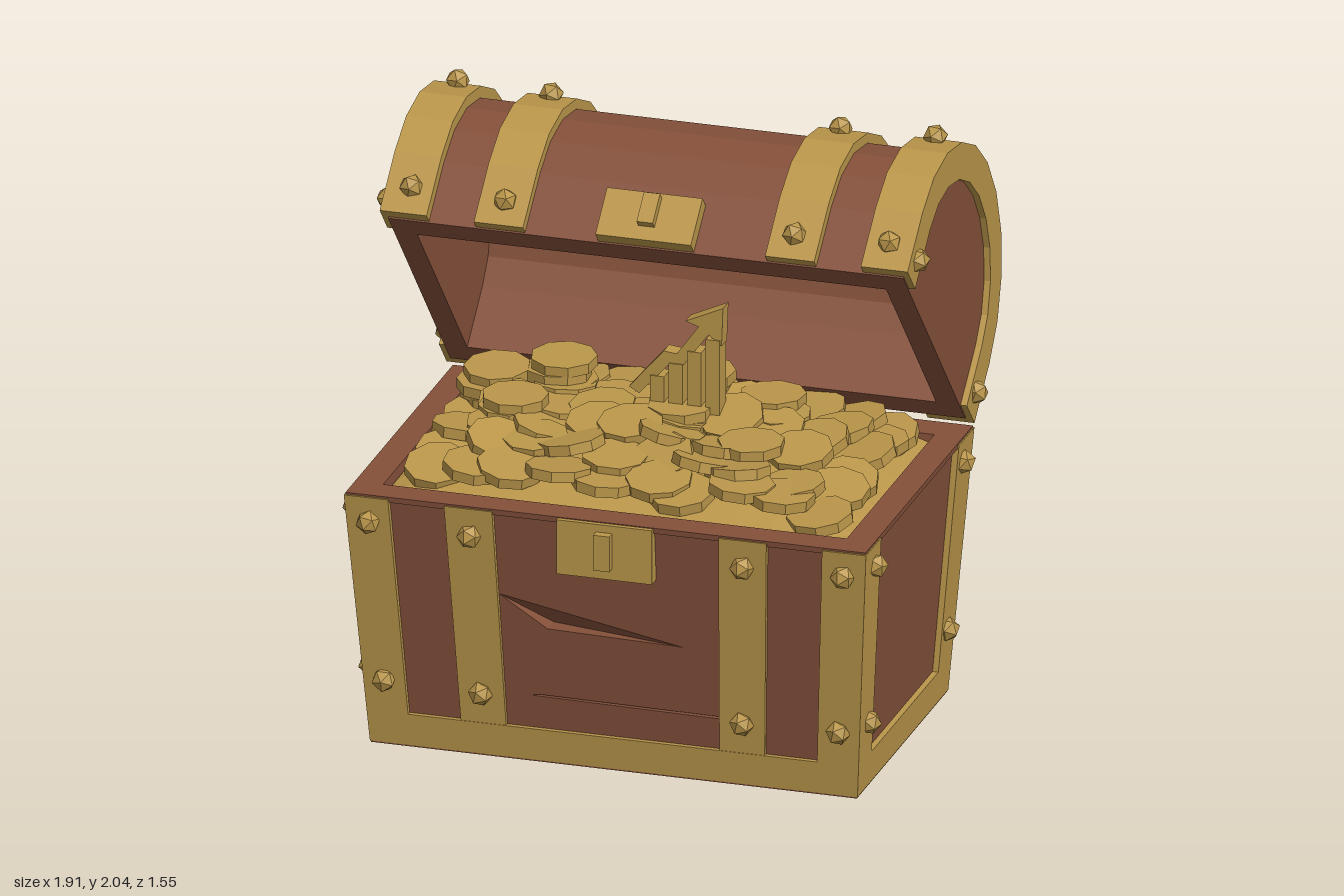
import * as THREE from 'three';

const wood = new THREE.MeshStandardMaterial({ color: 0x84503a, flatShading: true, side: THREE.DoubleSide });
wood.name = 'wood';
const gold = new THREE.MeshStandardMaterial({ color: 0xba964a, flatShading: true, side: THREE.DoubleSide });
gold.name = 'gold';

function add(parent, name, geo, mat) {
  const m = new THREE.Mesh(geo, mat);
  m.name = name;
  parent.add(m);
  return m;
}

// Box given by its min and max corners
function block(x0, x1, y0, y1, z0, z1) {
  return new THREE.BoxGeometry(x1 - x0, y1 - y0, z1 - z0)
    .translate((x0 + x1) / 2, (y0 + y1) / 2, (z0 + z1) / 2);
}

// The chest widens toward the top
const sx = y => 1 + 0.0786 * y, sz = y => 1 + 0.216 * y;
function taper(geo) {
  const p = geo.attributes.position;
  for (let i = 0; i < p.count; i++) {
    const y = p.getY(i);
    p.setX(i, p.getX(i) * sx(y));
    p.setZ(i, p.getZ(i) * sz(y));
  }
  geo.computeVertexNormals();
  return geo;
}

const poly = pts => pts.map(([x, y]) => new THREE.Vector2(x, y));
const rect = (x0, x1, y0, y1) => poly([[x0, y0], [x1, y0], [x1, y1], [x0, y1]]);

// Rectangular ring standing from y0 to y1
function ring(x, zBack, zFront, ix, izBack, izFront, y0, y1) {
  const s = new THREE.Shape(rect(-x, x, -zFront, -zBack));
  s.holes.push(new THREE.Path(rect(-ix, ix, -izFront, -izBack)));
  return new THREE.ExtrudeGeometry(s, { depth: y1 - y0, bevelEnabled: false })
    .rotateX(-Math.PI / 2).translate(0, y0, 0);
}

function rivet(parent, x, y, z, turn) {
  const r = add(parent, 'rivet', new THREE.IcosahedronGeometry(0.042, 0), gold);
  r.position.set(x, y, z);
  r.rotation.set(turn, turn * 2, 0.4);
}

function buildBase() {
  const g = new THREE.Group();
  g.name = 'base';
  g.position.z = 0.133;
  // Wooden tub
  add(g, 'tubWalls', taper(ring(0.822, -0.48, 0.42, 0.747, -0.4, 0.405, 0.004, 0.906)), wood);
  add(g, 'rim', taper(ring(0.838, -0.495, 0.492, 0.747, -0.4, 0.405, 0.895, 0.915)), wood);
  add(g, 'floor', taper(block(-0.839, 0.839, 0, 0.02, -0.496, 0.496)), wood);
  // Front board with a chipped gash and a crack
  const chip = [[-0.365, 0.6], [-0.21, 0.49], [0.24, 0.48]];
  const board = new THREE.Shape(rect(-0.822, 0.822, 0.02, 0.906));
  board.holes.push(new THREE.Path(poly(chip)));
  board.holes.push(new THREE.Path(poly([[-0.28, 0.237], [0.37, 0.23], [0.37, 0.238], [-0.25, 0.243]])));
  add(g, 'frontBoard', taper(new THREE.ExtrudeGeometry(board, { depth: 0.062, bevelEnabled: false })
    .translate(0, 0, 0.42)), wood);
  const facet = new THREE.BufferGeometry();
  facet.setAttribute('position', new THREE.Float32BufferAttribute(
    [...chip[0], 0.482, ...chip[1], 0.422, ...chip[2], 0.482], 3));
  add(g, 'gash', taper(facet), wood);
  // Metal frame
  add(g, 'bottomBand', taper(ring(0.842, -0.499, 0.499, 0.8, -0.46, 0.46, 0.006, 0.12)), gold);
  for (const s of [-1, 1]) {
    for (const t of [-1, 1]) {
      const bands = [[0.7, 0.842, 0.468, 0.499], [0.81, 0.842, 0.357, 0.499], [0.365, 0.52, 0.468, 0.497]];
      bands.forEach(([x0, x1, z0, z1], i) => {
        const geo = block(Math.min(s * x0, s * x1), Math.max(s * x0, s * x1), 0.1, 0.908,
          Math.min(t * z0, t * z1), Math.max(t * z0, t * z1));
        add(g, i < 2 ? 'cornerBand' : 'uprightBand', taper(geo), gold);
      });
      for (const y of [0.24, 0.82]) {
        rivet(g, s * 0.77 * sx(y), y, t * 0.505 * sz(y), s + y);
        rivet(g, s * 0.443 * sx(y), y - 0.01, t * 0.503 * sz(y), t + y);
        rivet(g, s * 0.846 * sx(y), y + 0.01, t * 0.41 * sz(y), s * t + y);
      }
    }
  }
  // Lock
  add(g, 'lockPlate', block(-0.165, 0.165, 0.72, 0.912, 0.55, 0.606), gold);
  add(g, 'lockKnob', block(-0.028, 0.028, 0.76, 0.885, 0.59, 0.637), gold);
  return g;
}

// Half outline of the lid arch, as a list of points, drawn in by an inset
function arch(inset, y0) {
  const w = 0.55 - inset, pts = [[w, y0]];
  for (let i = 0; i <= 10; i++) {
    const a = Math.PI * i / 10;
    pts.push([w * Math.cos(a), 0.22 + (0.47 - inset) * Math.sin(a)]);
  }
  pts.push([-w, y0]);
  return pts;
}

// Arch swept along x; without an inner inset it is a solid end
function archGeo(outer, inner, y0, x0, x1) {
  const pts = arch(outer, y0);
  if (inner !== null) pts.push(...arch(inner, y0).reverse());
  return new THREE.ExtrudeGeometry(new THREE.Shape(poly(pts)), { depth: x1 - x0, bevelEnabled: false })
    .translate(0, 0, -x1).rotateY(-Math.PI / 2);
}

function buildLid() {
  const g = new THREE.Group();
  g.name = 'lid';
  g.position.set(0, 1.345, -0.065);
  g.rotation.x = -0.838;
  add(g, 'lidShell', archGeo(0.04, 0.14, -0.006, -0.815, 0.815), wood);
  const ends = [[0.55, 0.1], [0.345, 0.6], [-0.345, 0.6], [-0.55, 0.24]];
  for (const s of [-1, 1]) {
    const span = (a, b) => s > 0 ? [a, b] : [-b, -a];
    add(g, 'lidEnd', archGeo(0.04, null, -0.006, ...span(0.81, 0.89)), wood);
    add(g, 'lidEndBand', archGeo(0, 0.125, 0, ...span(0.75, 0.912)), gold);
    add(g, 'lidBand', archGeo(0.005, 0.06, 0, ...span(0.418, 0.588)), gold);
    ends.forEach(([z, y], i) => {
      rivet(g, s * 0.825, y, z, i + s);
      rivet(g, s * 0.5, y - 0.01, z, i - s);
    });
    for (const t of [-1, 1]) rivet(g, s * 0.915, 0.08, t * 0.48, s + t);
  }
  add(g, 'lidLockPlate', block(-0.165, 0.165, 0, 0.175, 0.5, 0.56), gold);
  add(g, 'lidLockKnob', block(-0.028, 0.028, 0.05, 0.16, 0.55, 0.59), gold);
  return g;
}

// Height of the treasure heap
function heap(x, z) {
  const fx = 1 - Math.pow(Math.abs(x) / 0.8, 4), fz = 1 - Math.pow(Math.abs(z - 0.05) / 0.62, 2);
  return 0.88 + 0.13 * Math.max(0, fx) * Math.max(0, fz);
}

function buildTreasure() {
  const g = new THREE.Group();
  g.name = 'treasure';
  let seed = 11;
  const rnd = () => (seed = (seed * 16807) % 2147483647) / 2147483647;
  // Mound under the loose coins
  const mound = new THREE.PlaneGeometry(1.59, 0.97, 12, 8).rotateX(-Math.PI / 2).translate(0, 0, 0.133);
  const p = mound.attributes.position;
  for (let i = 0; i < p.count; i++) p.setY(i, heap(p.getX(i), p.getZ(i)));
  mound.computeVertexNormals();
  add(g, 'coinMound', mound, gold);
  const coinGeo = new THREE.CylinderGeometry(0.112, 0.112, 0.036, 9);
  const coin = (x, y, z, tilt) => {
    const c = add(g, 'coin', coinGeo, gold);
    c.position.set(x, y, z);
    c.rotation.set((rnd() - 0.35) * tilt, rnd() * 6, (rnd() - 0.5) * tilt);
  };
  // Loose coins in jittered rows
  for (let r = 0; r < 6; r++) {
    for (let c = 0; c < 10; c++) {
      const x = -0.67 + c * 0.149 + (rnd() - 0.5) * 0.08;
      const z = -0.25 + r * 0.147 + (rnd() - 0.5) * 0.06;
      coin(Math.max(-0.67, Math.min(0.67, x)), heap(x, z) + 0.01 + rnd() * 0.03, Math.min(0.49, z), 0.5);
    }
  }
  // Stacked coins
  for (const [x, z, n] of [[-0.64, -0.1, 3], [-0.43, -0.17, 4], [0.06, -0.18, 4], [0.3, -0.14, 3], [-0.5, 0.12, 3], [0.05, 0.02, 3]]) {
    for (let i = 0; i < n; i++) coin(x + (rnd() - 0.5) * 0.03, 0.99 + i * 0.036, z + (rnd() - 0.5) * 0.03, 0.1);
  }
  return g;
}

// Golden bar chart with a rising arrow
function buildChart() {
  const g = new THREE.Group();
  g.name = 'chartOrnament';
  [1.17, 1.22, 1.27, 1.32].forEach((top, i) => {
    const x = -0.06 + i * 0.064;
    add(g, 'bar', block(x, x + 0.048, 1.0, top, -0.03, 0.04), gold);
  });
  const arrow = new THREE.Shape(poly([[-0.135, 1.12], [-0.1, 1.1], [0, 1.21], [0.04, 1.2], [0.14, 1.335],
    [0.185, 1.3], [0.19, 1.435], [0.06, 1.375], [0.105, 1.36], [0.03, 1.255], [-0.015, 1.26]]));
  add(g, 'arrow', new THREE.ExtrudeGeometry(arrow, { depth: 0.06, bevelEnabled: false }).translate(0, 0, -0.025), gold);
  return g;
}

export function createModel() {
  const model = new THREE.Group();
  model.name = 'treasureChest';
  model.add(buildBase(), buildLid(), buildTreasure(), buildChart());
  return model;
}
